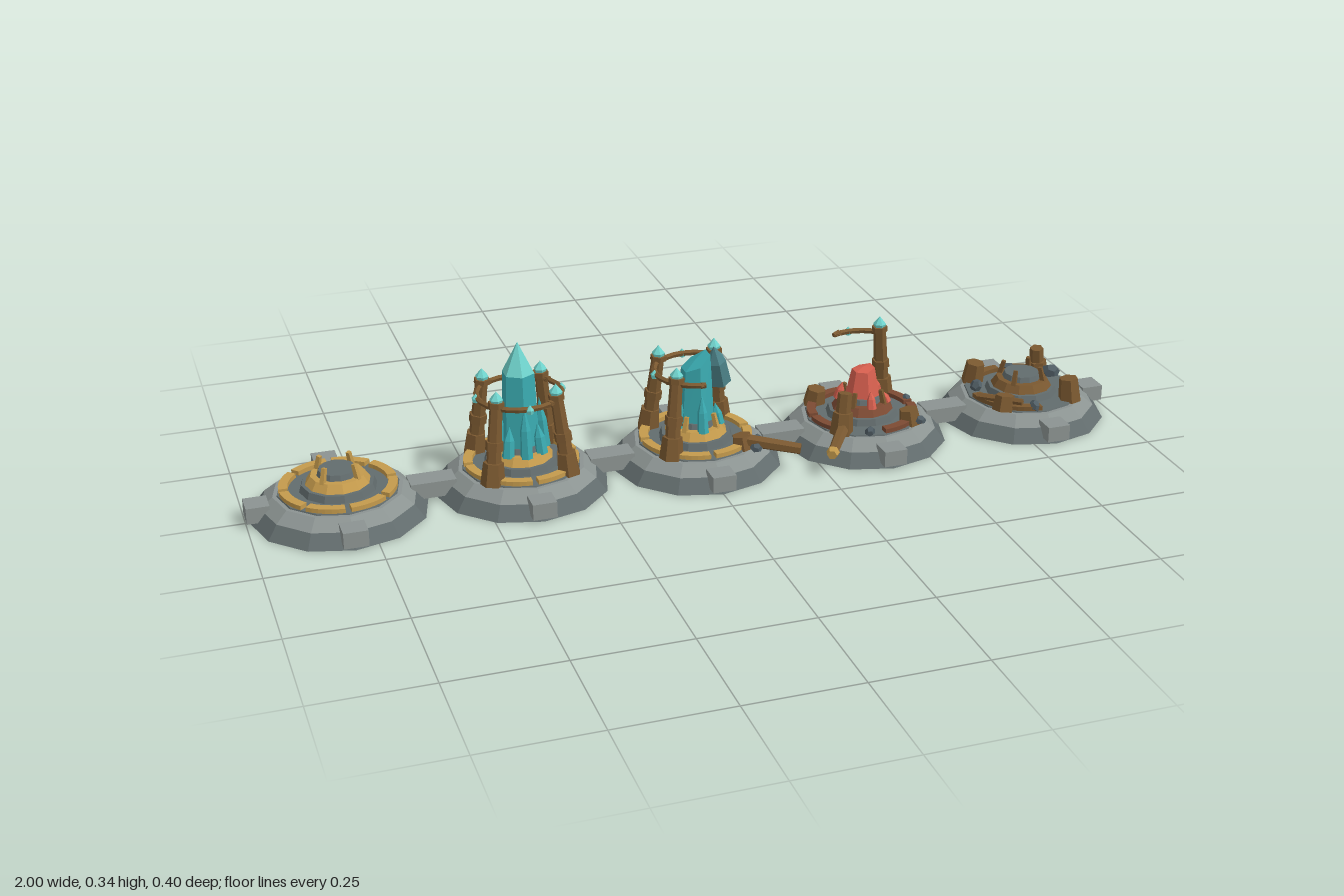
import * as THREE from 'three';

const mat = (name, color) => {
  const m = new THREE.MeshStandardMaterial({ color });
  m.name = name;
  return m;
};
const M = {
  stone: mat('light stone', 0x8b9391),
  slate: mat('slate', 0x626c6d),
  rubble: mat('dark slate', 0x4f5c63),
  gold: mat('gold', 0xc49a4c),
  wood: mat('wood', 0x7a5830),
  teal: mat('teal crystal', 0x3aaab0),
  light: mat('light crystal', 0x6fd3cc),
  dull: mat('dull crystal', 0x4f868c),
  red: mat('red crystal', 0xd8604f),
  rust: mat('rust', 0x7c4a33),
};
const V = (x, y, z) => new THREE.Vector3(x, y, z);
const UP = V(0, 1, 0);
const polar = (r, a, y) => V(r * Math.sin(a), y, r * Math.cos(a));

// Faceted mesh helper
function add(g, name, geo, m) {
  const flat = geo.index ? geo.toNonIndexed() : geo;
  flat.computeVertexNormals();
  const mesh = new THREE.Mesh(flat, m);
  mesh.name = name;
  g.add(mesh);
  return mesh;
}
const frustum = (g, name, r0, r1, y0, y1, n, m) => {
  const mesh = add(g, name, new THREE.CylinderGeometry(r1, r0, y1 - y0, n), m);
  mesh.position.y = (y0 + y1) / 2;
  return mesh;
};
// Tapered bar between two points
function strut(g, name, a, b, r0, r1, m, n = 6) {
  const mesh = add(g, name, new THREE.CylinderGeometry(r1, r0, a.distanceTo(b), n), m);
  mesh.position.copy(a).lerp(b, 0.5);
  mesh.quaternion.setFromUnitVectors(UP, b.clone().sub(a).normalize());
  return mesh;
}
// Pointed crystal from base to tip
function shard(g, name, a, b, r, m, shoulder = 0.7) {
  const L = a.distanceTo(b);
  const p = [[0, 0], [r, 0], [r * 0.85, L * shoulder], [0, L]].map(q => new THREE.Vector2(...q));
  const mesh = add(g, name, new THREE.LatheGeometry(p, 6), m);
  mesh.position.copy(a);
  mesh.quaternion.setFromUnitVectors(UP, b.clone().sub(a).normalize());
}
function gem(g, p, r, down, up) {
  const pts = [[0, -down], [r * 0.75, -down], [r, 0], [0, up]].map(q => new THREE.Vector2(...q));
  add(g, 'gem', new THREE.LatheGeometry(pts, 6), M.light).position.copy(p);
}
// Crystal snapped off along a slope
function brokenCrystal(g, r0, r1, y0, y1, slope, m) {
  const geo = new THREE.CylinderGeometry(r1, r0, y1 - y0, 6);
  const p = geo.attributes.position;
  for (let i = 0; i < p.count; i++) {
    if (p.getY(i) > 0) p.setY(i, p.getY(i) + slope * p.getX(i) - Math.abs(p.getZ(i)) * 0.25);
  }
  add(g, 'brokenCrystal', geo, m).position.y = (y0 + y1) / 2;
}
// Segmented flat ring
function plateRing(g, name, rIn, rOut, y, h, n, gap, m, skip = []) {
  for (let i = 0; i < n; i++) {
    if (skip.includes(i)) continue;
    const a = (i / n) * Math.PI * 2 + gap, b = ((i + 1) / n) * Math.PI * 2 - gap;
    const s = new THREE.Shape();
    s.absarc(0, 0, rOut, a, b, false);
    s.absarc(0, 0, rIn, b, a, true);
    const geo = new THREE.ExtrudeGeometry(s, { depth: h, bevelEnabled: false, curveSegments: 3 });
    geo.rotateX(-Math.PI / 2);
    add(g, name, geo, m).position.y = y;
  }
}
// Stone, rings, pedestal and prongs shared by every stage
function base(g, trim, skip = []) {
  frustum(g, 'lowerStep', 0.192, 0.168, 0, 0.03, 12, M.slate);
  frustum(g, 'upperStep', 0.168, 0.14, 0.03, 0.052, 12, M.stone);
  frustum(g, 'floor', 0.132, 0.13, 0.05, 0.055, 12, M.slate);
  for (let i = 0; i < 4; i++) {
    const a = i * Math.PI / 2;
    const block = add(g, 'edgeBlock', new THREE.BoxGeometry(0.053, 0.036, 0.05), M.stone);
    block.position.copy(polar(0.175, a, 0.028));
    block.rotation.y = a;
    const d = a + Math.PI / 4;
    strut(g, 'prong', polar(0.055, d, 0.075), polar(0.044, d, 0.118), 0.008, 0.006,
      trim === M.gold ? M.gold : M.wood, 4);
  }
  plateRing(g, 'outerRing', 0.106, 0.126, 0.055, 0.01, 8, 0.05, trim, skip);
  frustum(g, 'pedestalFoot', 0.084, 0.078, 0.053, 0.07, 12, M.slate);
  frustum(g, 'pedestal', 0.07, 0.058, 0.07, 0.088, 12, trim);
  frustum(g, 'pedestalTop', 0.045, 0.04, 0.086, 0.1, 12, M.slate);
}
// Diagonal post with foot, band and gem
function post(g, a) {
  foot(g, a);
  strut(g, 'post', polar(0.118, a, 0.055), polar(0.093, a, 0.228), 0.018, 0.014, M.wood);
  strut(g, 'postBand', polar(0.108, a, 0.126), polar(0.105, a, 0.146), 0.02, 0.02, M.wood);
  strut(g, 'postCap', polar(0.093, a, 0.22), polar(0.092, a, 0.232), 0.018, 0.018, M.wood);
  gem(g, polar(0.092, a, 0.238), 0.015, 0.012, 0.018);
}
function foot(g, a, h = 0.1) {
  const f = strut(g, 'postFoot', polar(0.119, a, 0.05), polar(0.113, a, h), 0.027, 0.022, M.wood);
  f.rotateY(a);
}
// Curved beam, angles measured from the front toward +x
function beam(g, a0, a1, gemAt) {
  const pts = [];
  for (let i = 0; i <= 6; i++) pts.push(polar(0.092, a0 + (a1 - a0) * i / 6, 0.217));
  add(g, 'beam', new THREE.TubeGeometry(new THREE.CatmullRomCurve3(pts), 6, 0.0065, 5), M.wood);
  strut(g, 'beamEnd', pts[5], pts[6], 0.008, 0.005, M.wood, 5);
  if (gemAt !== undefined) gem(g, polar(0.095, gemAt, 0.217), 0.009, 0.009, 0.011);
}
function rocks(g, list) {
  list.forEach(([x, z, r], i) => {
    const rock = add(g, 'rubble', new THREE.DodecahedronGeometry(r), M.rubble);
    rock.position.set(x, 0.055 + r * 0.6, z);
    rock.rotation.set(i, i * 2, i * 0.7);
    rock.scale.y = 0.75;
  });
}
// Ring of small crystals round the middle
function cluster(g, n, r, heights, m, size) {
  for (let i = 0; i < n; i++) {
    const a = (i / n) * Math.PI * 2;
    shard(g, 'sideCrystal', polar(r, a, 0.085), polar(r * 0.82, a, heights[i % heights.length]), size, m, 0.55);
  }
}

export function createModel() {
  const root = new THREE.Group();
  root.name = 'crystalShrineStages';
  const Q = Math.PI / 4;
  const stage = (name, x) => {
    const g = new THREE.Group();
    g.name = name;
    g.position.x = x;
    root.add(g);
    return g;
  };

  // Empty foundation
  let g = stage('foundation', -0.8);
  base(g, M.gold);

  // Complete shrine
  g = stage('completeShrine', -0.4);
  base(g, M.gold);
  frustum(g, 'crystalBody', 0.043, 0.036, 0.09, 0.265, 6, M.teal);
  frustum(g, 'crystalTip', 0.036, 0, 0.265, 0.335, 6, M.light);
  cluster(g, 8, 0.053, [0.2, 0.155], M.teal, 0.014);
  for (let i = 0; i < 4; i++) {
    post(g, Q + i * 2 * Q);
    beam(g, Q + i * 2 * Q, 3 * Q + i * 2 * Q, 2 * Q + i * 2 * Q);
  }

  // Damaged shrine: front left post has fallen
  g = stage('damagedShrine', 0);
  base(g, M.gold);
  brokenCrystal(g, 0.042, 0.033, 0.09, 0.24, 0.6, M.teal);
  shard(g, 'snappedTip', V(0.065, 0.17, -0.025), V(0.04, 0.267, 0.005), 0.026, M.dull, 0.6);
  cluster(g, 5, 0.052, [0.17, 0.135], M.teal, 0.013);
  for (let i = 1; i < 4; i++) post(g, Q + i * 2 * Q);
  for (let i = 1; i < 3; i++) beam(g, Q + i * 2 * Q, 3 * Q + i * 2 * Q, 2 * Q + i * 2 * Q);
  beam(g, 7 * Q, 7.9 * Q);
  foot(g, Q, 0.08);
  strut(g, 'fallenPost', V(0.09, 0.07, 0.09), V(0.195, 0.058, 0.145), 0.015, 0.013, M.wood);
  rocks(g, [[0.1, 0.12, 0.014], [0.12, 0.07, 0.011]]);

  // Failing shrine: red crystal, one post left
  g = stage('failingShrine', 0.4);
  base(g, M.rust, [5]);
  brokenCrystal(g, 0.041, 0.026, 0.09, 0.167, 0.15, M.red);
  cluster(g, 6, 0.056, [0.125, 0.11], M.red, 0.011);
  post(g, 3 * Q);
  beam(g, 3 * Q, 4.6 * Q, 4 * Q);
  foot(g, Q, 0.085);
  foot(g, 5 * Q, 0.09);
  foot(g, 7 * Q);
  strut(g, 'brokenPost', polar(0.118, 7 * Q, 0.06), polar(0.104, 7 * Q, 0.143), 0.018, 0.016, M.wood);
  strut(g, 'fallenPost', V(-0.07, 0.068, 0.07), V(-0.145, 0.058, 0.185), 0.015, 0.012, M.wood);
  strut(g, 'fallenPostCap', V(-0.143, 0.058, 0.182), V(-0.151, 0.057, 0.195), 0.015, 0.011, M.gold);
  rocks(g, [[0.1, 0.1, 0.014], [-0.03, 0.12, 0.013], [0.12, -0.02, 0.012]]);

  // Ruin: stubs and rubble
  g = stage('ruin', 0.8);
  base(g, M.wood, [0, 3, 6]);
  [0.105, 0.085, 0.1, 0.085].forEach((h, i) => foot(g, Q + i * 2 * Q, h));
  strut(g, 'brokenPost', polar(0.116, 3 * Q, 0.06), polar(0.107, 3 * Q, 0.118), 0.018, 0.016, M.wood);
  strut(g, 'fallenBeam', V(-0.125, 0.068, 0.03), V(-0.05, 0.075, 0.11), 0.009, 0.008, M.wood);
  rocks(g, [[0.1, -0.045, 0.022], [0.09, 0.065, 0.017], [-0.02, 0.115, 0.015],
    [-0.1, -0.03, 0.016], [0.02, -0.105, 0.014], [0.01, 0.0, 0.012]]);
  return root;
}
